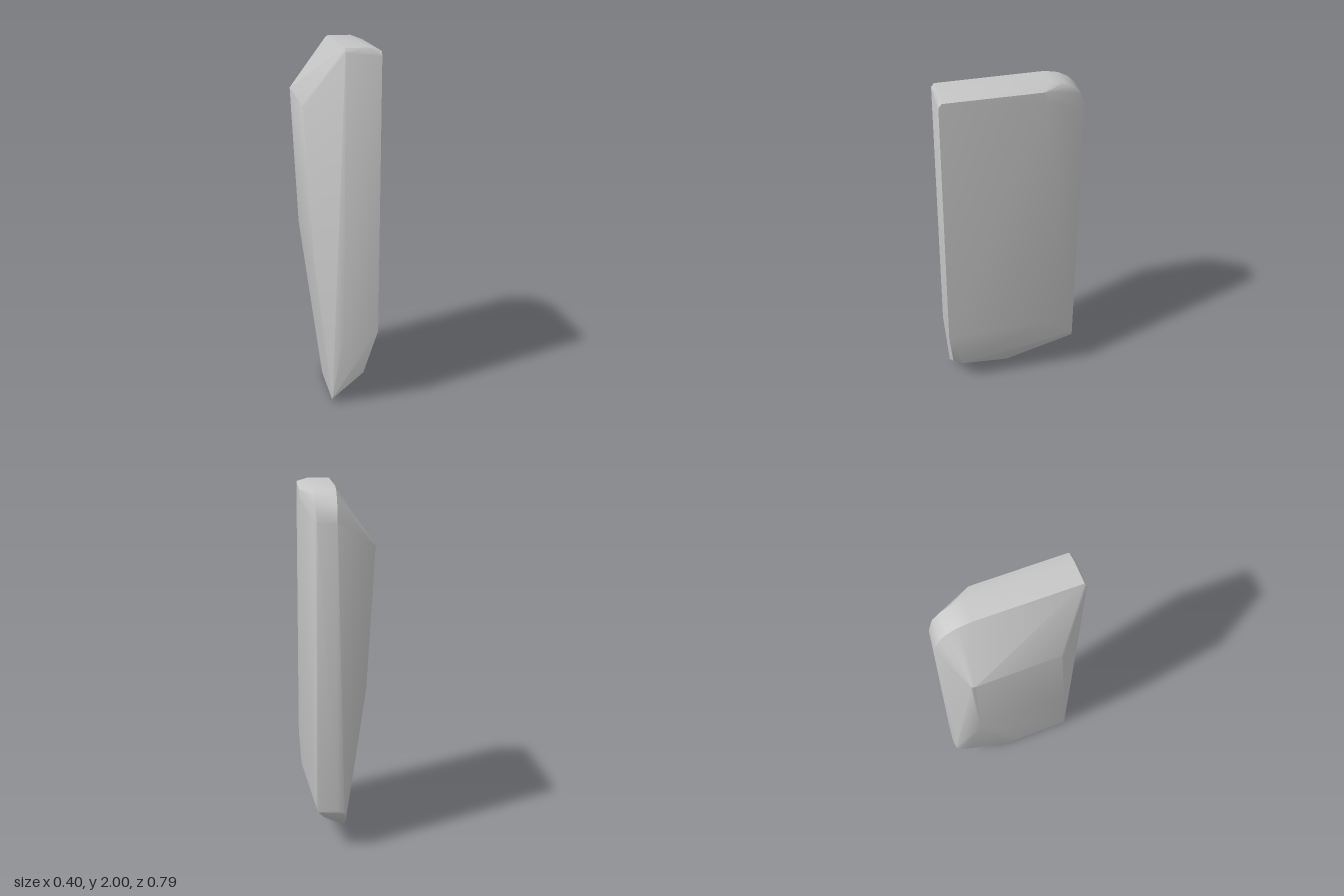
import * as THREE from 'three';
import { ConvexGeometry } from 'three/addons/geometries/ConvexGeometry.js';
import { toCreasedNormals } from 'three/addons/utils/BufferGeometryUtils.js';

export function createModel() {
  const stone = new THREE.MeshStandardMaterial({ color: 0xc6c6c6 });
  stone.name = 'grey stone';

  const points = [];
  const add = (...list) => list.forEach((p) => points.push(new THREE.Vector3(...p)));

  // Top face with a small front bevel and a gently sloping side edge
  add([0.01, 2, 0.378], [0.14, 2, 0.375], [0.2, 1.982, 0.373]);
  add([0.01, 1.98, 0.393], [0.2, 1.96, 0.391], [0.2, 1.98, -0.15]);

  // Long rounded back shoulder: height, depth, right-hand end
  const shoulder = [
    [2, -0.2, 0.14], [1.985, -0.27, 0.13], [1.955, -0.325, 0.127],
    [1.91, -0.365, 0.125], [1.83, -0.392, 0.115],
  ];
  for (const [y, z, x] of shoulder) add([0.01, y, z - (2 - y) * 0.024], [x, y, z]);
  add([0.13, 1.83, -0.38], [0.2, 1.92, -0.17]);

  // Front face, tapering to the foot
  add([0.2, 0.44, 0.391], [0.01, 0.44, 0.393], [0.125, 0.18, 0.36], [0.13, 0.15, 0.3]);
  add([-0.05, 0.03, 0.355], [-0.05, 0.015, 0.34]);

  // Broad side and its sloping back edge
  add([0.2, 0.44, -0.17], [0.13, 0.27, -0.38], [0.115, 0.23, -0.386]);
  add([0.085, 0.19, -0.36], [0.05, 0.15, -0.3]);

  // Back foot
  add([0.01, 0.24, -0.395], [-0.03, 0.22, -0.388], [-0.04, 0.18, -0.36], [-0.045, 0.15, -0.3]);

  // Slanted narrow side with a slight bulge half way up
  add([-0.2, 1.7, -0.265], [-0.195, 1.7, -0.285], [-0.187, 1.68, 0.2], [-0.182, 1.67, 0.215]);
  add([-0.158, 0.9, -0.25], [-0.142, 0.85, 0.275]);

  // Bottom point
  add([0, 0, 0], [-0.05, 0, -0.05], [-0.05, 0, 0.02]);

  const slab = new THREE.Mesh(toCreasedNormals(new ConvexGeometry(points), 0.6), stone);
  slab.name = 'stoneSlab';
  const group = new THREE.Group();
  group.name = 'standingStone';
  group.add(slab);
  return group;
}
